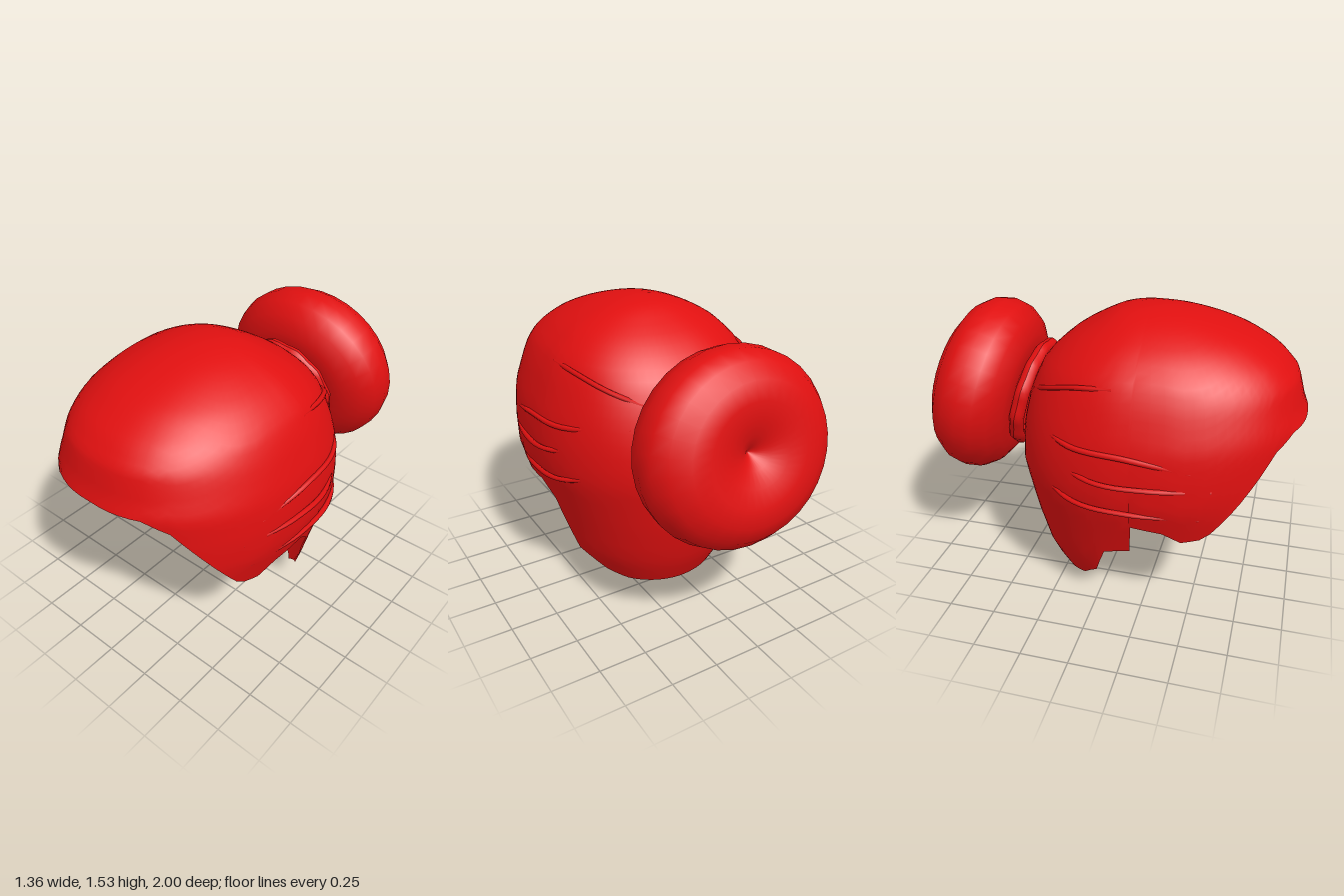
import * as THREE from 'three';

const TOP = 1.535, ZC = 0.18, N = 2.2;

// Skull profiles as [height, value]: front depth, back depth and half width
const FRONT = [[1.535, 0.18], [1.49, 0.5], [1.42, 0.7], [1.33, 0.85], [1.24, 0.935], [1.1, 0.975], [1.04, 1], [0.9, 0.99], [0.4, 0.97], [0, 0.95]];
const BACK = [[1.535, 0.18], [1.52, 0.03], [1.46, -0.1], [1.37, -0.25], [1.25, -0.38], [1.1, -0.45], [0.9, -0.5], [0.72, -0.51], [0.42, -0.46], [0.16, -0.39], [0, -0.3]];
const WIDTH = [[1.535, 0], [1.5, 0.22], [1.4, 0.42], [1.3, 0.525], [1.2, 0.575], [1.1, 0.61], [1, 0.64], [0.85, 0.655], [0.7, 0.65], [0.6, 0.62], [0.4, 0.56], [0.2, 0.51], [0.07, 0.43], [0, 0.4]];

// Lower hairline as [z, y] from the nape round to the forehead
const NAPE = [[-0.3, 0.005], [-0.2, 0.03], [-0.1, 0.07], [0, 0.19]];
const TEMPLE = [[0.37, 0.56], [0.46, 0.5], [0.55, 0.52], [0.6, 0.56], [0.77, 0.8], [0.87, 0.97], [0.94, 1.035], [1, 1.045]];
const EDGE_LEFT = [...NAPE, [0.06, 0.4], [0.07, 0.5], [0.17, 0.585], ...TEMPLE];
const EDGE_RIGHT = [...NAPE, [0.06, 0.36], [0.2, 0.4], [0.215, 0.585], ...TEMPLE];

// Profile lookup, eased so the crown stays round
function look(table, y) {
  const s = v => Math.sqrt(Math.max(0, TOP - v));
  for (let i = 1; i < table.length; i++) {
    const [y0, v0] = table[i - 1], [y1, v1] = table[i];
    if (y >= y1) return v0 + (v1 - v0) * (s(y) - s(y0)) / (s(y1) - s(y0));
  }
  return table[table.length - 1][1];
}

// Point on the skull; angle runs from -90 degrees (back) to 90 (front)
function skull(angle, y, side, lift = 0) {
  const p = v => Math.sign(v) * Math.pow(Math.abs(v), 2 / N);
  const sn = Math.sin(angle);
  const depth = sn > 0 ? look(FRONT, y) - ZC : ZC - look(BACK, y);
  return new THREE.Vector3(
    side * (look(WIDTH, y) + lift) * p(Math.max(0, Math.cos(angle))),
    y,
    ZC + (depth + lift) * p(sn));
}

function angleAt(z, y) {
  const depth = z > ZC ? look(FRONT, y) - ZC : ZC - look(BACK, y);
  const u = Math.min(1, Math.abs(z - ZC) / depth);
  return Math.sign(z - ZC) * Math.asin(Math.pow(u, N / 2));
}

// Hairline columns for one side, subdivided by angle
function columns(edge, side) {
  const out = [];
  const pts = edge.map(([z, y]) => [angleAt(z, y), y]);
  pts[0][0] = -Math.PI / 2;
  pts[pts.length - 1][0] = Math.PI / 2;
  for (let i = 1; i < pts.length; i++) {
    const [a0, y0] = pts[i - 1], [a1, y1] = pts[i];
    const n = Math.max(1, Math.ceil(Math.abs(a1 - a0) / 0.09));
    for (let k = 0; k < n; k++) {
      out.push({ a: a0 + (a1 - a0) * k / n, y: y0 + (y1 - y0) * k / n, side });
    }
  }
  out.push({ a: Math.PI / 2, y: pts[pts.length - 1][1], side });
  return out;
}

function capGeometry() {
  const left = columns(EDGE_LEFT, 1);
  const right = columns(EDGE_RIGHT, -1).reverse().slice(1, -1);
  const cols = [...left, ...right], rows = 26, pos = [0, TOP, ZC], index = [];
  cols.forEach(c => {
    for (let j = 1; j <= rows; j++) {
      const y = TOP - (TOP - c.y) * Math.pow(j / rows, 1.7);
      pos.push(...skull(c.a, y, c.side).toArray());
    }
  });
  cols.forEach((c, i) => {
    const a = 1 + i * rows, b = 1 + ((i + 1) % cols.length) * rows;
    index.push(0, b, a);
    for (let j = 0; j < rows - 1; j++) {
      index.push(a + j, b + j, b + j + 1, a + j, b + j + 1, a + j + 1);
    }
  });
  // Keep the faces pointing outwards
  for (let i = 0; i < index.length; i += 3) {
    const [A, B, C] = [0, 1, 2].map(k => new THREE.Vector3().fromArray(pos, index[i + k] * 3));
    const n = B.clone().sub(A).cross(C.clone().sub(A));
    const out = A.add(B).add(C).divideScalar(3).sub(new THREE.Vector3(0, 0.75, ZC));
    if (n.dot(out) < 0) [index[i + 1], index[i + 2]] = [index[i + 2], index[i + 1]];
  }
  const g = new THREE.BufferGeometry();
  g.setAttribute('position', new THREE.Float32BufferAttribute(pos, 3));
  g.setIndex(index);
  g.computeVertexNormals();
  return g;
}

export function createModel() {
  const model = new THREE.Group();
  const red = new THREE.MeshStandardMaterial({ color: 0xe01010, side: THREE.DoubleSide });
  red.name = 'red hair';
  const add = (name, geometry, parent = model) => {
    const mesh = new THREE.Mesh(geometry, red);
    mesh.name = name;
    parent.add(mesh);
    return mesh;
  };

  add('hairCap', capGeometry());

  // Combed locks sweeping from the temples to the bun
  const locks = new THREE.Group();
  locks.name = 'combedLocks';
  model.add(locks);
  const paths = [
    [[0.55, 0.66], [0.2, 0.68], [-0.1, 0.7], [-0.42, 0.8]],
    [[0.6, 0.82], [0.3, 0.83], [0, 0.84], [-0.4, 0.92]],
    [[0.5, 0.92], [0.2, 0.98], [-0.1, 0.99], [-0.38, 1.02]],
    [[0.1, 1.27], [-0.1, 1.25], [-0.25, 1.2], [-0.38, 1.13]],
  ];
  for (const side of [-1, 1]) {
    for (const path of paths) {
      const pts = path.map(([z, y], i) => skull(angleAt(z, y), y, side, i % 3 ? 0.004 : -0.012));
      add('lock', new THREE.TubeGeometry(new THREE.CatmullRomCurve3(pts), 24, 0.014, 6), locks);
    }
  }

  // Hair tie with a slightly lumpy ring
  const ring = new THREE.TorusGeometry(0.265, 0.04, 10, 48);
  const p = ring.attributes.position;
  for (let i = 0; i < p.count; i++) {
    const k = 1 + 0.02 * Math.sin(12 * Math.atan2(p.getY(i), p.getX(i)));
    p.setXY(i, p.getX(i) * k, p.getY(i) * k);
  }
  ring.computeVertexNormals();
  const tie = add('hairTie', ring);
  tie.position.set(0.01, 0.975, -0.49);
  tie.rotation.x = 0.245;
  tie.scale.x = 1.02;

  // Round bun, pinched at the middle of both faces
  const half = [[0.485, 0], [0.47, 0.08], [0.42, 0.15], [0.34, 0.2], [0.25, 0.21], [0.16, 0.195], [0.08, 0.165], [0.03, 0.13], [0, 0.1]];
  const profile = [...half.slice(1).reverse().map(([r, h]) => [r, -h]), ...half];
  const bun = add('bun', new THREE.LatheGeometry(profile.map(([r, h]) => new THREE.Vector2(r, h)), 32));
  bun.position.set(0.015, 1, -0.745);
  bun.rotation.x = -1.38;
  bun.scale.x = 1.065;

  return model;
}
